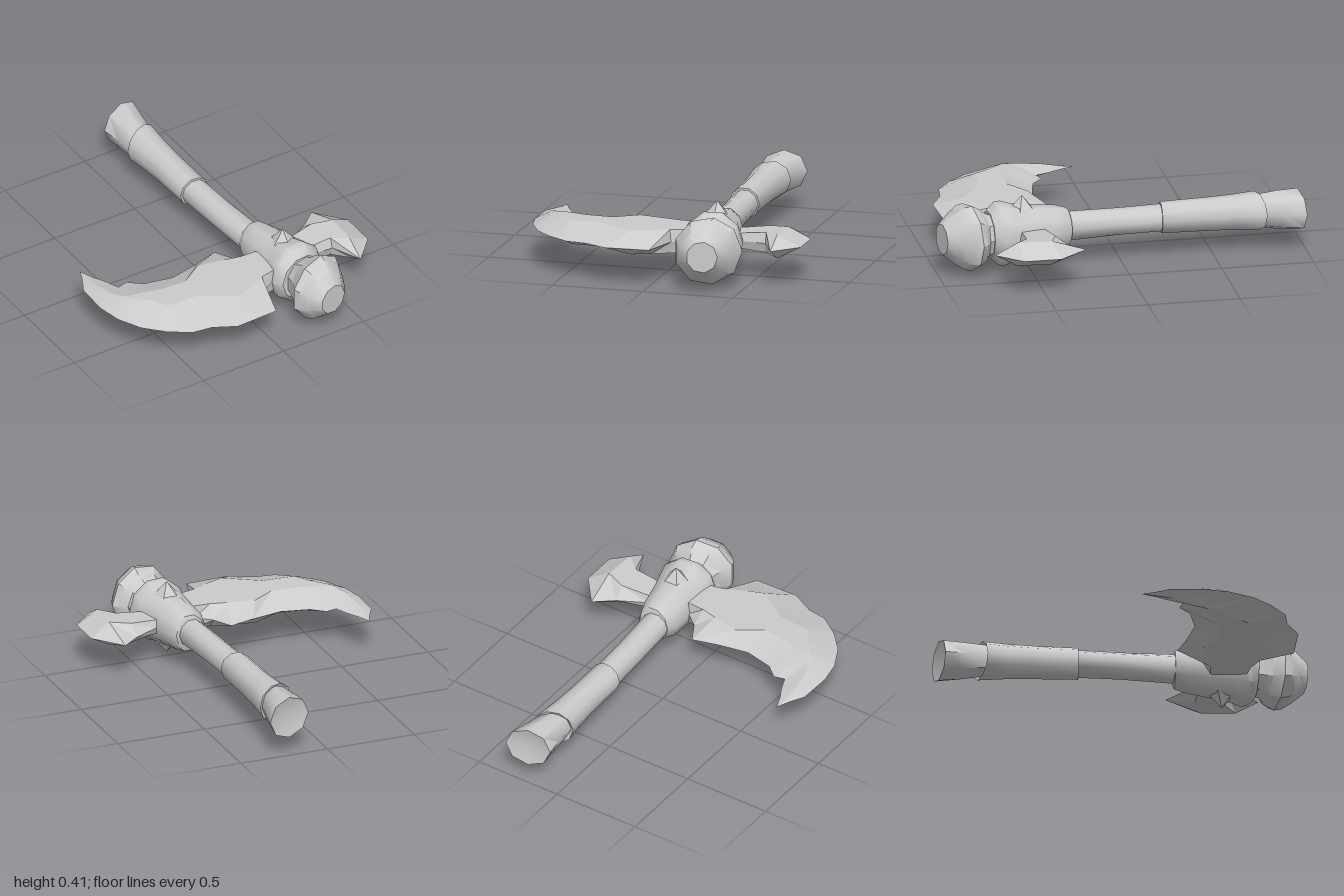
import * as THREE from 'three';
import { toCreasedNormals } from 'three/addons/utils/BufferGeometryUtils.js';

const MID = 0.205; // height of the weapon's centre plane
const material = new THREE.MeshStandardMaterial({ color: 0xcccccc });

// Skin a series of equal-length point rings, closing both ends;
// dent pushes the first cap's centre along z.
function loft(name, rings, crease, dent = 0) {
  const n = rings[0].length;
  const centre = (ring) =>
    ring.reduce((s, p) => s.add(p), new THREE.Vector3()).divideScalar(n);
  const first = centre(rings[0]);
  first.z += dent;
  const last = centre(rings[rings.length - 1]);
  const points = [...rings.flat(), first, last];
  const tris = [];
  const end = (rings.length - 1) * n;
  for (let i = 0; i < n; i++) {
    const j = (i + 1) % n;
    for (let a = 0; a < end; a += n) {
      tris.push([a + i, a + j, a + n + j], [a + i, a + n + j, a + n + i]);
    }
    tris.push([points.length - 2, j, i], [points.length - 1, end + i, end + j]);
  }
  // Turn the skin outward whichever way the rings run
  const volume = tris.reduce((s, [a, b, c]) =>
    s + points[a].dot(points[b].clone().cross(points[c])), 0);
  if (volume < 0) tris.forEach((t) => t.reverse());
  const geometry = new THREE.BufferGeometry().setFromPoints(points);
  geometry.setIndex(tris.flat());
  const mesh = new THREE.Mesh(toCreasedNormals(geometry, crease), material);
  mesh.name = name;
  return mesh;
}

// Tilted oval rings: [left x, left z, right x, right z, vertical radius]
function turned(name, rows, sides = 10, crease = 0.75, dent = 0) {
  const rings = rows.map(([x0, z0, x1, z1, ry]) =>
    Array.from({ length: sides }, (_, i) => {
      const a = (i / sides) * Math.PI * 2;
      const t = (1 + Math.cos(a)) / 2;
      return new THREE.Vector3(
        x0 + (x1 - x0) * t, MID + ry * Math.sin(a), z0 + (z1 - z0) * t);
    }));
  return loft(name, rings, crease, dent);
}

// Bevelled blade stations: half thickness, then x, z of
// back edge, back ridge, front ridge, front edge
function blade(name, rows) {
  const rings = rows.map(([h, ax, az, bx, bz, cx, cz, dx, dz]) => [
    new THREE.Vector3(ax, MID, az),
    new THREE.Vector3(bx, MID + h, bz),
    new THREE.Vector3(cx, MID + h, cz),
    new THREE.Vector3(dx, MID, dz),
    new THREE.Vector3(cx, MID - h, cz),
    new THREE.Vector3(bx, MID - h, bz),
  ]);
  return loft(name, rings, 0.3);
}

export function createModel() {
  const axe = new THREE.Group();
  axe.name = 'battleAxe';

  // Handle, from the flared butt to the head
  axe.add(turned('buttCap', [
    [0.085, -0.94, 0.33, -1.0, 0.115],
    [0.1, -0.84, 0.305, -0.88, 0.108],
    [0.11, -0.7, 0.285, -0.76, 0.09],
  ], 8, 0.8, 0.03));
  axe.add(turned('grip', [
    [0.11, -0.705, 0.28, -0.78, 0.085],
    [0.09, -0.715, 0.3, -0.79, 0.105],
    [0.105, -0.6, 0.29, -0.64, 0.095],
    [0.115, -0.48, 0.285, -0.48, 0.09],
    [0.12, -0.23, 0.29, -0.225, 0.085],
    [0.14, -0.228, 0.27, -0.223, 0.065],
  ]));
  axe.add(turned('shaft', [
    [0.13, -0.25, 0.28, -0.25, 0.074],
    [0.145, 0.0, 0.295, 0.0, 0.072],
    [0.17, 0.32, 0.32, 0.32, 0.08],
  ]));

  // Head socket and the knob in front of it
  axe.add(turned('headSocket', [
    [0.18, 0.285, 0.335, 0.275, 0.085],
    [0.165, 0.29, 0.345, 0.285, 0.105],
    [0.14, 0.34, 0.375, 0.36, 0.122],
    [0.14, 0.47, 0.405, 0.49, 0.14],
    [0.135, 0.6, 0.435, 0.58, 0.155],
    [0.125, 0.66, 0.45, 0.635, 0.175],
    [0.13, 0.70, 0.445, 0.665, 0.17],
    [0.16, 0.735, 0.42, 0.71, 0.13],
  ]));
  axe.add(turned('knob', [
    [0.19, 0.70, 0.4, 0.68, 0.11],
    [0.185, 0.745, 0.42, 0.735, 0.125],
    [0.17, 0.81, 0.465, 0.755, 0.16],
    [0.135, 0.875, 0.49, 0.785, 0.185],
    [0.15, 0.91, 0.475, 0.83, 0.177],
    [0.185, 0.95, 0.445, 0.895, 0.14],
    [0.24, 1.0, 0.405, 0.965, 0.085],
  ], 9, 0.6));

  // Long hooked blade
  axe.add(blade('mainBlade', [
    [0.06, 0.2, 0.47, 0.2, 0.48, 0.2, 0.66, 0.2, 0.67],
    [0.065, 0.15, 0.465, 0.15, 0.475, 0.15, 0.665, 0.15, 0.67],
    [0.065, 0.07, 0.40, 0.06, 0.47, 0.06, 0.685, 0.07, 0.70],
    [0.065, 0.01, 0.29, -0.03, 0.45, -0.03, 0.73, 0.01, 0.91],
    [0.065, -0.13, 0.33, -0.18, 0.42, -0.13, 0.77, -0.235, 0.92],
    [0.065, -0.30, 0.365, -0.31, 0.505, -0.32, 0.65, -0.36, 0.855],
    [0.065, -0.46, 0.33, -0.46, 0.495, -0.5, 0.64, -0.47, 0.84],
    [0.065, -0.53, 0.27, -0.55, 0.47, -0.55, 0.56, -0.585, 0.76],
    [0.06, -0.59, 0.285, -0.64, 0.445, -0.645, 0.46, -0.68, 0.66],
    [0.045, -0.62, 0.21, -0.675, 0.38, -0.68, 0.39, -0.745, 0.53],
    [0.025, -0.66, 0.135, -0.70, 0.24, -0.705, 0.25, -0.77, 0.40],
    [0, -0.69, 0.06, -0.70, 0.095, -0.73, 0.155, -0.765, 0.215],
  ]));

  // Short flared blade on the other side
  axe.add(blade('rearBlade', [
    [0.035, 0.33, 0.43, 0.33, 0.44, 0.33, 0.56, 0.33, 0.57],
    [0.04, 0.39, 0.42, 0.39, 0.435, 0.39, 0.565, 0.39, 0.575],
    [0.055, 0.53, 0.345, 0.54, 0.41, 0.56, 0.57, 0.56, 0.59],
    [0.065, 0.635, 0.26, 0.65, 0.45, 0.64, 0.635, 0.635, 0.755],
    [0, 0.68, 0.35, 0.765, 0.42, 0.765, 0.62, 0.70, 0.69],
  ]));

  // Pointed studs above and below the socket
  for (const side of [1, -1]) {
    const stud = new THREE.Mesh(
      toCreasedNormals(new THREE.ConeGeometry(0.068, 0.075, 5), 0.2), material);
    stud.name = side > 0 ? 'topStud' : 'bottomStud';
    stud.position.set(0.28, MID + side * 0.1675, 0.54);
    if (side < 0) stud.rotation.x = Math.PI;
    axe.add(stud);
  }
  return axe;
}
